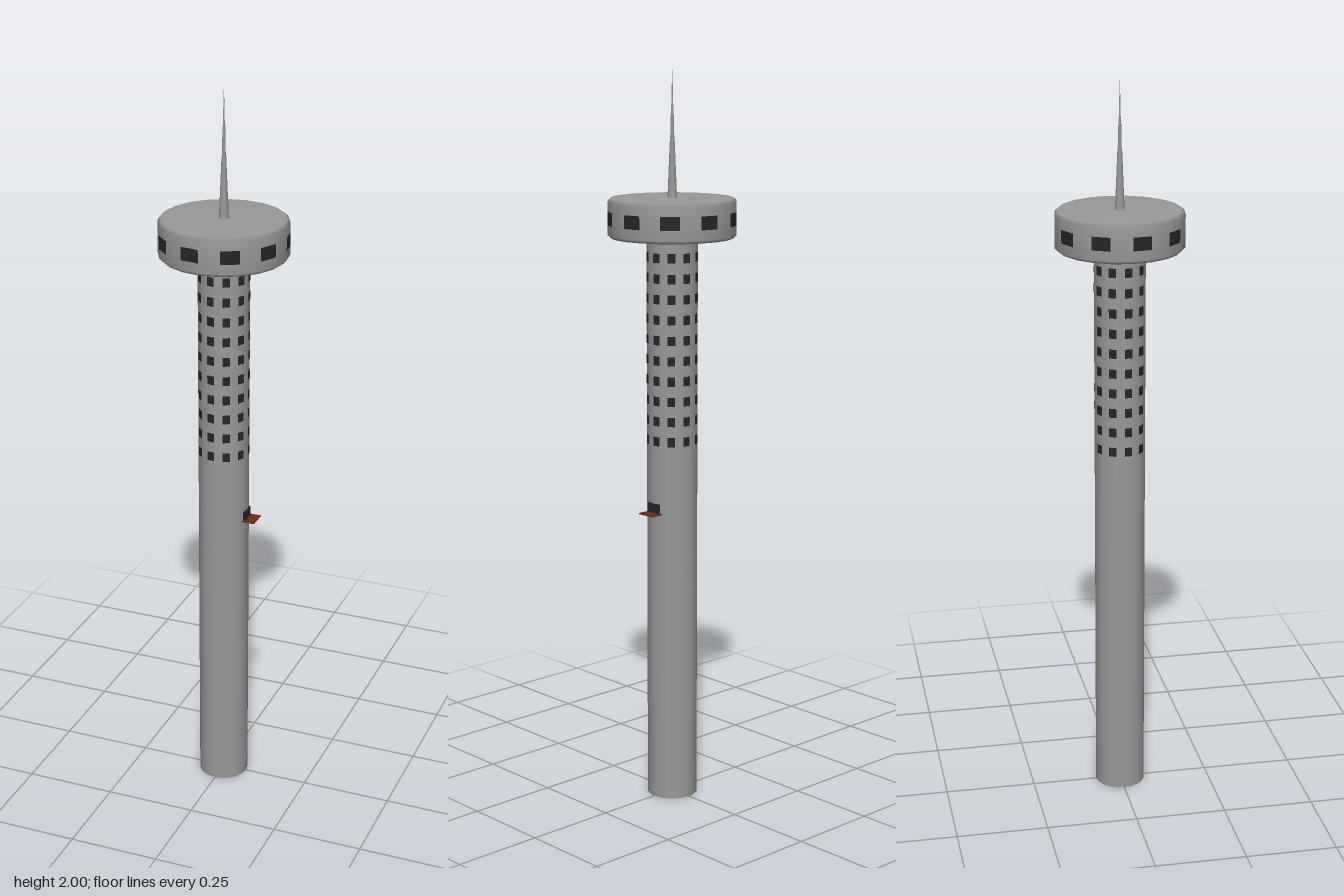
import * as THREE from 'three';

const SIDES = 20;
const COLUMNS = 10;
const grey = new THREE.MeshStandardMaterial({ color: 0x999999 });
const glass = new THREE.MeshStandardMaterial({ color: 0x262626 });
const brown = new THREE.MeshStandardMaterial({ color: 0x6b2a16 });

function add(parent, name, geometry, material, x = 0, y = 0, z = 0) {
  const mesh = new THREE.Mesh(geometry, material);
  mesh.name = name;
  mesh.position.set(x, y, z);
  parent.add(mesh);
  return mesh;
}

// Round section standing between two heights
function section(parent, name, y0, y1, r0, r1, sides) {
  const geometry = new THREE.CylinderGeometry(r1, r0, y1 - y0, sides);
  return add(parent, name, geometry, grey, 0, (y0 + y1) / 2, 0);
}

// Ring of flush panes, one on every second facet of a round section
function windowRing(parent, name, radius, y, width, height) {
  const distance = radius * Math.cos(Math.PI / SIDES) + 0.0006;
  const pane = new THREE.PlaneGeometry(width, height);
  for (let i = 0; i < COLUMNS; i++) {
    const a = -Math.PI / SIDES + (i * 2 * Math.PI) / COLUMNS;
    const mesh = add(parent, name, pane, glass, distance * Math.sin(a), y, distance * Math.cos(a));
    mesh.rotation.y = a;
  }
}

export function createModel() {
  const model = new THREE.Group();
  model.name = 'tower';

  // Shaft with ten rows of windows in its upper part
  const shaftRadius = 0.069;
  section(model, 'shaft', 0, 1.57, shaftRadius, shaftRadius, SIDES);
  const shaftWindows = new THREE.Group();
  shaftWindows.name = 'shaftWindows';
  model.add(shaftWindows);
  for (let row = 0; row < 10; row++) {
    windowRing(shaftWindows, 'shaftWindow', shaftRadius, 1.016 + row * 0.055, 0.0205, 0.025);
  }

  // Observation deck, smooth over its chamfered rims
  const deck = new THREE.Group();
  deck.name = 'observationDeck';
  model.add(deck);
  const deckRadius = 0.173;
  const deckProfile = [
    [0, 1.56], [deckRadius - 0.009, 1.56], [deckRadius, 1.569],
    [deckRadius, 1.657], [deckRadius - 0.009, 1.666], [0, 1.666],
  ].map(([x, y]) => new THREE.Vector2(x, y));
  add(deck, 'deckBody', new THREE.LatheGeometry(deckProfile, SIDES), grey);
  windowRing(deck, 'deckWindow', deckRadius, 1.613, 0.051, 0.036);

  // Antenna in tapering steps
  const antenna = new THREE.Group();
  antenna.name = 'antenna';
  model.add(antenna);
  section(antenna, 'antennaBase', 1.664, 1.83, 0.013, 0.006, 10);
  section(antenna, 'antennaMiddle', 1.83, 1.91, 0.005, 0.0035, 10);
  section(antenna, 'antennaTip', 1.91, 2, 0.0025, 0.0005, 10);

  // Small balcony on the left side: dark doorway and thin floor
  const balcony = new THREE.Group();
  balcony.name = 'balcony';
  model.add(balcony);
  add(balcony, 'balconyDoor', new THREE.BoxGeometry(0.006, 0.027, 0.043), glass, 0.068, 0.829, 0);
  add(balcony, 'balconyFloor', new THREE.BoxGeometry(0.036, 0.003, 0.053), brown, 0.081, 0.815, 0);

  return model;
}
